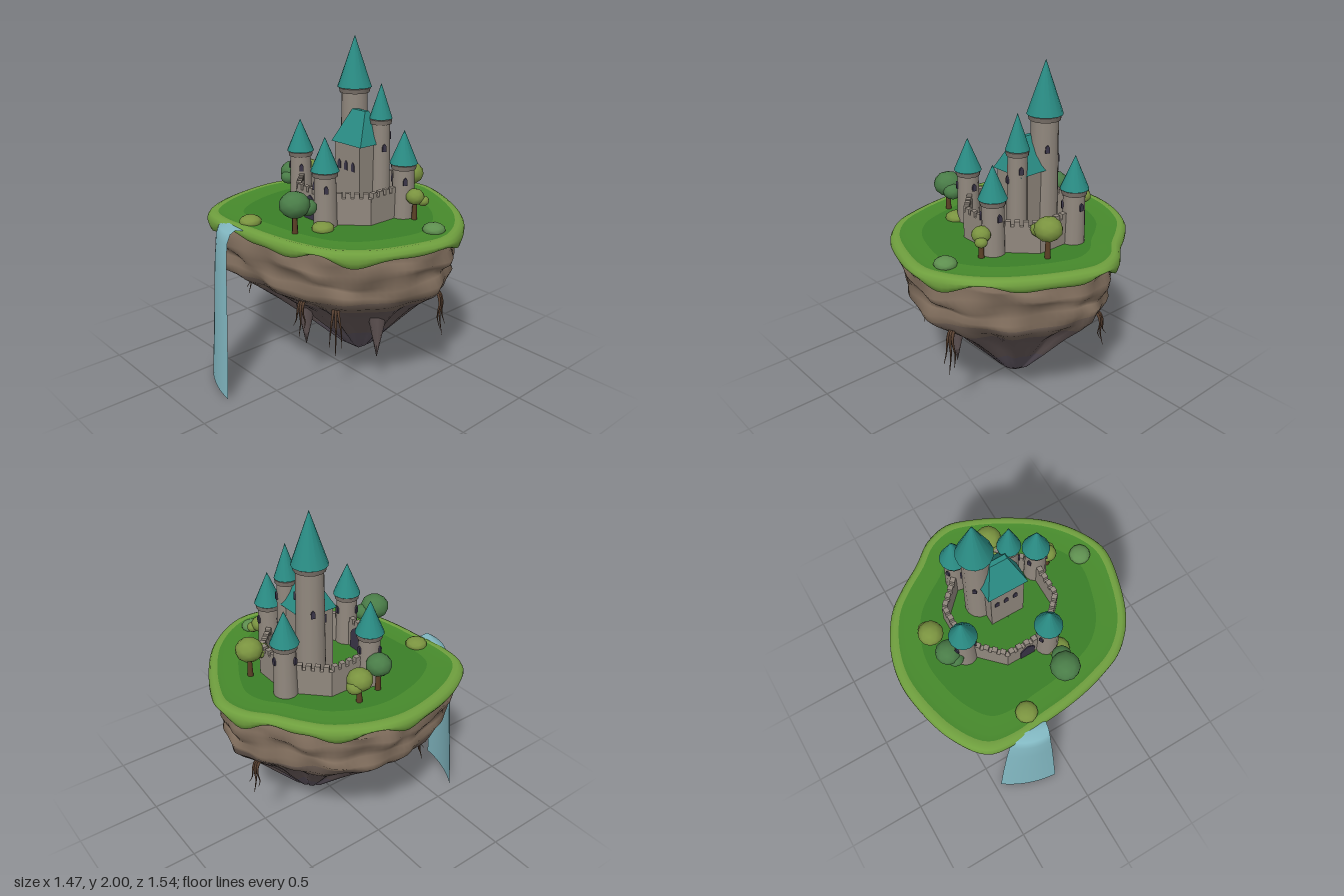
import * as THREE from 'three';

const mat = (color, extra = {}) => new THREE.MeshStandardMaterial({ color, roughness: 0.9, ...extra });
const M = {
  meadow: mat(0x3b7f27), meadowEdge: mat(0x478a2c), rim: mat(0x6f9f3e),
  cliff: mat(0x83705f), ledge: mat(0x74645a), under: mat(0x655858), tip: mat(0x5f5661),
  stone: mat(0x91887e), trim: mat(0x7d746c), roof: mat(0x2a8c84), dark: mat(0x3a3548), root: mat(0x5a4232),
  bark: mat(0x5c4026), leafDark: mat(0x4a7d48), leafOlive: mat(0x7b9440), leafMid: mat(0x5f9050),
  water: mat(0x82b8c2, { side: THREE.DoubleSide }),
};

function add(parent, name, geo, material, x = 0, y = 0, z = 0) {
  const m = new THREE.Mesh(geo, material);
  m.name = name;
  m.position.set(x, y, z);
  parent.add(m);
  return m;
}

// Island outline seen from above (x, z), clockwise from the back
const N = 112, CZ = -0.05;
const outline = new THREE.CatmullRomCurve3([
  [-0.03, -0.77], [0.12, -0.73], [0.35, -0.615], [0.53, -0.485], [0.675, -0.305], [0.735, -0.14], [0.69, 0.1],
  [0.59, 0.325], [0.445, 0.465], [0.265, 0.535], [0.06, 0.58], [-0.14, 0.6], [-0.34, 0.62], [-0.515, 0.585],
  [-0.65, 0.4], [-0.73, 0.11], [-0.735, -0.06], [-0.685, -0.245], [-0.58, -0.425], [-0.455, -0.53],
  [-0.31, -0.625], [-0.18, -0.73],
].map(([x, z]) => new THREE.Vector3(x, 0, z)), true);
const EDGE = Array.from({ length: N }, (_, i) => outline.getPoint(i / N));

// Closed loops joined into one smooth skin, split into named bands
function loft(parent, rings, point, bands) {
  const pos = [];
  rings.forEach((r, j) => { for (let i = 0; i < N; i++) pos.push(...point(r, i, j)); });
  const strip = (from, to) => {
    const idx = [];
    for (let j = from; j < to; j++) for (let i = 0; i < N; i++) {
      const a = j * N + i, b = j * N + (i + 1) % N;
      idx.push(a, b, a + N, b, b + N, a + N);
    }
    return idx;
  };
  const geo = new THREE.BufferGeometry();
  geo.setAttribute('position', new THREE.Float32BufferAttribute(pos, 3));
  geo.setIndex(strip(0, rings.length - 1));
  geo.computeVertexNormals();
  for (const [name, material, from, to] of bands) add(parent, name, geo.clone().setIndex(strip(from, to)), material);
}

function island(parent) {
  // [scale, height, drip amount]
  const grass = [[0.002, 1, 0], [0.5, 1, 0], [0.74, 1, 0], [0.87, 0.999, 0], [0.92, 1.005, 0], [0.955, 1.009, 0], [0.982, 1, 0],
    [0.998, 0.98, 0.1], [1, 0.962, 0.5], [0.985, 0.943, 1], [0.96, 0.938, 1], [0.93, 0.965, 0.2], [0.85, 0.97, 0]];
  loft(parent, grass, ([k, y, d], i) => {
    const a = i / N * Math.PI * 2, e = EDGE[i];
    const drip = 0.019 * Math.sin(8 * a + 1) + 0.014 * Math.sin(13 * a + 2);
    return [e.x * k, y + d * drip, CZ + (e.z - CZ) * k];
  }, [['meadow', M.meadow, 0, 2], ['meadowEdge', M.meadowEdge, 2, 4], ['grassRim', M.rim, 4, 12]]);

  // [scale, height] of the rock, drifting towards its tip
  const rock = [[0.9, 0.98], [0.935, 0.93], [0.92, 0.9], [0.94, 0.86], [0.92, 0.82], [0.89, 0.78], [0.885, 0.75], [0.905, 0.71],
    [0.885, 0.67], [0.845, 0.63], [0.74, 0.57], [0.57, 0.47], [0.425, 0.36], [0.335, 0.29], [0.245, 0.22], [0.13, 0.13], [0.002, 0.065]];
  loft(parent, rock, ([k, y], i, j) => {
    const a = i / N * Math.PI * 2, e = EDGE[i], t = Math.max(0, (0.65 - y) / 0.58);
    const lumps = 0.012 * Math.sin(9 * a + j * 0.9) + 0.013 * Math.sin(17 * a - j * 0.5) + 0.007 * Math.sin(5 * a + j * 2);
    const ridges = 0.05 * Math.sin(11 * a + 1) + 0.035 * Math.sin(19 * a);
    const s = k * (1 + ridges * Math.min(1, t * 3) + lumps * (1 - Math.min(1, t)));
    return [e.x * s + 0.03 * t, y + (t > 0 ? 0 : 0.012 * Math.sin(6 * a + j)), CZ - 0.08 * Math.sqrt(t) + (e.z - CZ) * s];
  }, [['cliff', M.cliff, 0, 8], ['cliffLedge', M.ledge, 8, 10], ['underside', M.under, 10, 13], ['rockTip', M.tip, 13, 16]]);

  // Hanging rock spikes
  for (const [x, z, top, bottom] of [[-0.035, 0.24, 0.47, 0.2], [0.355, 0.03, 0.49, 0.195]])
    add(parent, 'rockSpike', new THREE.ConeGeometry(0.06, top - bottom, 8).rotateX(Math.PI), M.under, x, (top + bottom) / 2, z);

  // Roots in groups of three: [x, z, lowest point]
  for (const [x, z, end] of [[0.56, -0.22, 0.35], [0.32, 0.31, 0.32], [0.16, 0.41, 0.42], [-0.45, 0.29, 0.4], [-0.15, -0.6, 0.42]]) {
    const dir = new THREE.Vector3(x, 0, z - CZ).normalize(), side = new THREE.Vector3(-dir.z, 0, dir.x);
    for (let k = -1; k <= 1; k++) {
      const p = (out, along, y) => new THREE.Vector3(x, y, z).addScaledVector(dir, out).addScaledVector(side, along * k);
      const path = new THREE.CatmullRomCurve3([p(-0.07, 0.005, 0.62), p(0.025, 0.012, 0.615), p(0.045, 0.018, 0.56),
        p(0.04, 0.03, end * 0.4 + 0.336), p(0.06, 0.035, end + 0.06 * Math.abs(k))]);
      const tube = new THREE.TubeGeometry(path, 14, 0.012, 6), v = tube.attributes.position;
      // taper each root towards its end
      for (let i = 0; i < v.count; i++) {
        const u = Math.floor(i / 7) / 14, c = path.getPointAt(u), q = new THREE.Vector3().fromBufferAttribute(v, i);
        q.sub(c).multiplyScalar(1.1 - u).add(c);
        v.setXYZ(i, q.x, q.y, q.z);
      }
      add(parent, 'root', tube, M.root);
    }
  }
}

function waterfall(parent) {
  // [centre x, y, z, half width]
  const rows = [[-0.24, 0.994, 0.56, 0.115], [-0.25, 1.004, 0.605, 0.115], [-0.262, 0.985, 0.646, 0.115], [-0.27, 0.93, 0.666, 0.118],
    [-0.277, 0.75, 0.678, 0.135], [-0.284, 0.4, 0.694, 0.16], [-0.292, 0, 0.715, 0.186]];
  const S = 10, geo = new THREE.PlaneGeometry(1, 1, S, rows.length - 1), v = geo.attributes.position;
  rows.forEach(([x, y, z, w], j) => {
    for (let i = 0; i <= S; i++) {
      const s = i / S * 2 - 1, bulge = j > 1 ? 0.025 * (0.5 - s * s) : 0;
      v.setXYZ(j * (S + 1) + i, x + s * w * 0.94 - bulge * 0.34, y, z + s * w * 0.34 + bulge * 0.94);
    }
  });
  geo.computeVertexNormals();
  add(parent, 'waterfall', geo, M.water);
}

// Pointed arch panel standing on its base
function arch(w, h, depth) {
  const s = new THREE.Shape();
  s.moveTo(-w / 2, 0);
  s.lineTo(w / 2, 0);
  s.lineTo(w / 2, h * 0.6);
  s.quadraticCurveTo(w * 0.42, h * 0.85, 0, h);
  s.quadraticCurveTo(-w * 0.42, h * 0.85, -w / 2, h * 0.6);
  return new THREE.ExtrudeGeometry(s, { depth, bevelEnabled: false, curveSegments: 5 });
}

function tower(parent, name, x, z, r, top, roofR, roofH, windows) {
  const g = new THREE.Group();
  g.name = name;
  g.position.set(x, 0.985, z);
  parent.add(g);
  const h = top - 0.985;
  add(g, 'shaft', new THREE.CylinderGeometry(r * 0.93, r * 1.06, h, 14), M.stone, 0, h / 2);
  add(g, 'collar', new THREE.CylinderGeometry(r * 1.14, r * 1.08, 0.026, 14), M.trim, 0, h - 0.022);
  add(g, 'spire', new THREE.ConeGeometry(roofR, roofH, 14), M.roof, 0, h + roofH / 2 - 0.004);
  for (const [a, y] of windows) {
    const w = add(g, 'window', arch(0.024, 0.045, 0.014), M.dark, Math.sin(a) * (r - 0.009), y - 0.985, Math.cos(a) * (r - 0.009));
    w.rotation.y = a;
  }
}

function castle(parent) {
  const g = new THREE.Group();
  g.name = 'castle';
  parent.add(g);
  const cx = -0.022, cz = -0.103, apothem = 0.295, len = 2 * apothem * Math.tan(Math.PI / 8);

  // Eight walls with battlements
  for (let i = 0; i < 8; i++) {
    const wall = new THREE.Group();
    wall.name = 'wall';
    wall.position.set(cx, 0, cz);
    wall.rotation.y = i * Math.PI / 4;
    g.add(wall);
    add(wall, 'wallPanel', new THREE.BoxGeometry(len + 0.012, 0.17, 0.03), M.stone, 0, 1.07, apothem);
    for (let k = -2; k <= 2; k++)
      add(wall, 'merlon', new THREE.BoxGeometry(0.03, 0.034, 0.03), M.stone, k * len / 5, 1.168, apothem);
    if (i === 0) add(wall, 'gate', arch(0.092, 0.145, 0.04), M.dark, 0, 1, apothem - 0.02);
  }

  // Towers on every other corner
  for (let i = 0; i < 4; i++) {
    const a = Math.PI / 8 + i * Math.PI / 2, R = 0.332;
    tower(g, 'cornerTower', cx + Math.sin(a) * R + 0.002, cz + Math.cos(a) * R + 0.002, 0.065, 1.32, 0.081, 0.19,
      [[0.95, 1.2], [0.95 + 2.1, 1.2], [0.95 + 4.2, 1.2]]);
  }
  tower(g, 'mainTower', -0.105, -0.208, 0.082, 1.705, 0.102, 0.295, [[-0.65, 1.36], [2.6, 1.5], [-2, 1.42]]);
  tower(g, 'slimTower', 0.105, -0.22, 0.057, 1.55, 0.067, 0.2, [[1.2, 1.36], [2.8, 1.42]]);

  // Keep with hipped roof
  add(g, 'keep', new THREE.BoxGeometry(0.21, 0.42, 0.2), M.stone, 0, 1.2, -0.155);
  const roof = new THREE.BoxGeometry(0.248, 0.185, 0.23), v = roof.attributes.position;
  for (let i = 0; i < v.count; i++) if (v.getY(i) > 0) v.setXYZ(i, v.getX(i) * 0.43, v.getY(i), v.getZ(i) * 0.12);
  roof.computeVertexNormals();
  add(g, 'keepRoof', roof, M.roof, 0, 1.493, -0.158);
  for (const x of [-0.066, -0.008, 0.05]) add(g, 'keepWindow', arch(0.027, 0.055, 0.012), M.dark, x, 1.245, -0.063);
}

function plants(parent) {
  // [x, z, crown height, crown radius, material, side lobe dx, dz]
  const trees = [[0.097, 0.415, 1.163, 0.087, M.leafDark, 0.02, -0.07], [0.112, -0.475, 1.17, 0.08, M.leafOlive, -0.005, 0.07],
    [-0.425, 0.015, 1.16, 0.074, M.leafDark, 0.02, 0.045], [-0.455, -0.14, 1.14, 0.074, M.leafOlive, -0.01, -0.04],
    [0.375, -0.235, 1.135, 0.054, M.leafOlive, 0.03, -0.035]];
  for (const [x, z, y, r, leaf, dx, dz] of trees) {
    const g = new THREE.Group();
    g.name = 'tree';
    g.position.set(x, 0, z);
    parent.add(g);
    add(g, 'trunk', new THREE.CylinderGeometry(0.011, 0.018, y - 0.99, 7), M.bark, 0, (y + 0.99) / 2);
    add(g, 'crown', new THREE.IcosahedronGeometry(r, 1), leaf, 0, y).scale.y = 0.87;
    add(g, 'crownLobe', new THREE.IcosahedronGeometry(r * 0.66, 1), leaf, dx, y - 0.025, dz).scale.y = 0.85;
  }
  for (const [x, z, leaf] of [[-0.2, 0.5, M.leafOlive], [0.155, 0.265, M.leafOlive], [0.575, -0.178, M.leafMid]])
    add(parent, 'bush', new THREE.IcosahedronGeometry(0.065, 1), leaf, x, 1.008, z).scale.y = 0.58;
}

export function createModel() {
  const model = new THREE.Group();
  model.name = 'floatingIslandCastle';
  island(model);
  waterfall(model);
  castle(model);
  plants(model);
  return model;
}
